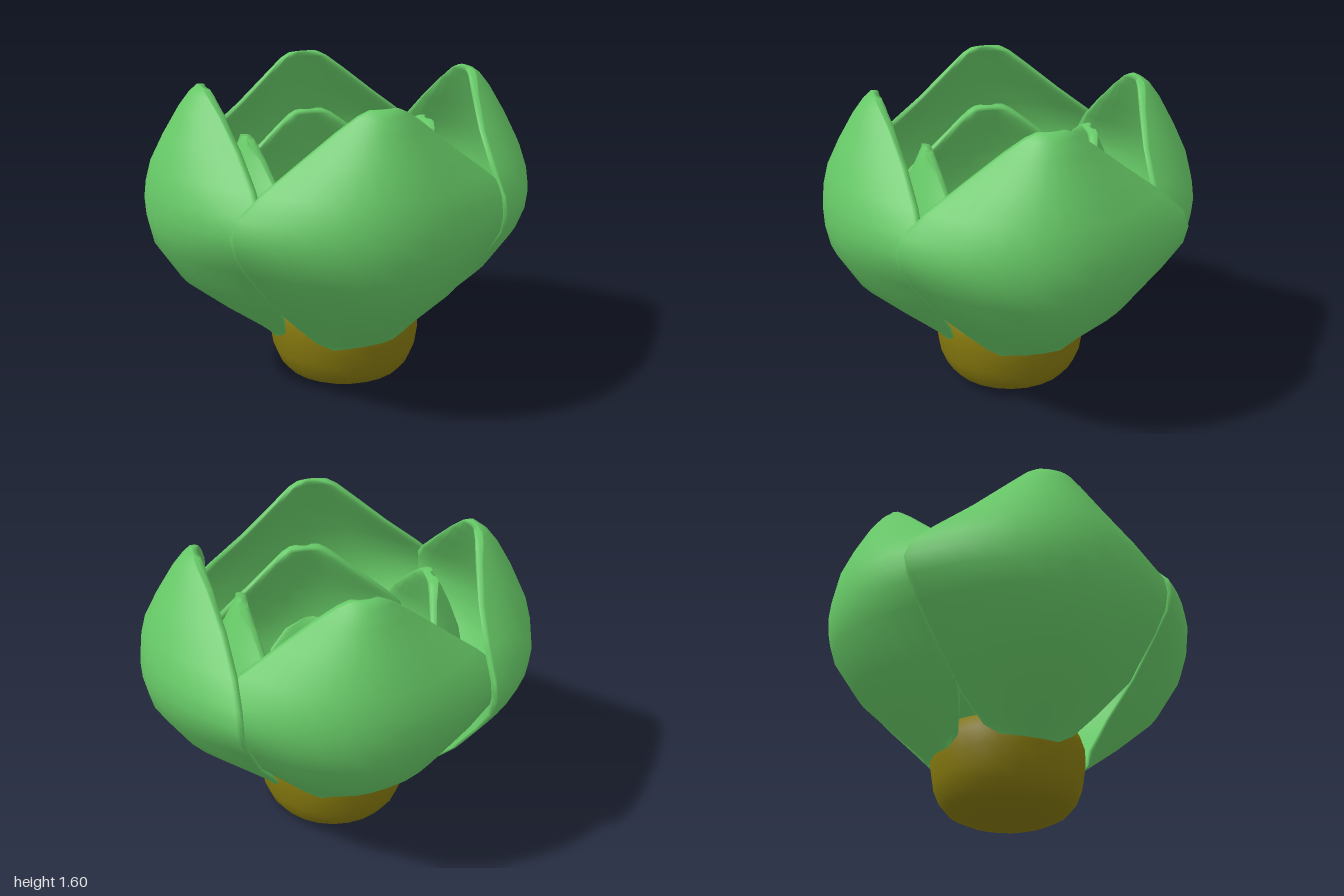
import * as THREE from 'three';

const green = new THREE.MeshStandardMaterial({ color: 0x66c866, side: THREE.DoubleSide });
const brown = new THREE.MeshStandardMaterial({ color: 0x85780e });

// Petal rows, bottom to tip: height, radius at the middle, half width, radius at the edges
const cupped = [
  [0.285, 0.40, 0.15, 0.385], [0.33, 0.46, 0.23, 0.375], [0.45, 0.63, 0.35, 0.41],
  [0.62, 0.84, 0.50, 0.49], [0.82, 0.97, 0.64, 0.56], [0.93, 0.995, 0.70, 0.60],
  [1.02, 1.0, 0.72, 0.61], [1.11, 0.99, 0.69, 0.61], [1.22, 0.965, 0.57, 0.61],
  [1.36, 0.90, 0.39, 0.63], [1.5, 0.82, 0.22, 0.67], [1.57, 0.765, 0.13, 0.70],
  [1.595, 0.73, 0.08, 0.71], [1.6, 0.705, 0.04, 0.705],
];
const spread = [
  [0.46, 0.10, 0.10, 0.10], [0.58, 0.20, 0.20, 0.19], [0.70, 0.31, 0.28, 0.27],
  [0.80, 0.40, 0.24, 0.35], [0.87, 0.44, 0.14, 0.42], [0.90, 0.46, 0.03, 0.455],
];

// Closed petal facing +z: each row is a loop along the outside and back along the inside
function petalGeometry(rows, thickness) {
  const n = 16, loop = n * 2;
  const pos = [], idx = [];
  rows.forEach(([y, r, w, edge], i) => {
    const v = i / (rows.length - 1);
    const t = thickness * Math.sqrt(Math.max(0, Math.sin(Math.PI * v)));
    for (let k = 0; k < loop; k++) {
      // points crowd towards the edges so that the rims are round
      const u = -Math.cos((Math.PI * k) / n);
      const depth = k > n ? t * Math.sqrt(1 - u ** 6) : 0;
      pos.push(w * u, y, r - (r - edge) * u * u - depth);
    }
  });
  for (let i = 0; i < rows.length - 1; i++) {
    for (let k = 0; k < loop; k++) {
      const a = i * loop + k, b = i * loop + ((k + 1) % loop);
      idx.push(a, b, a + loop, b, b + loop, a + loop);
    }
  }
  const g = new THREE.BufferGeometry();
  g.setAttribute('position', new THREE.Float32BufferAttribute(pos, 3));
  g.setIndex(idx);
  g.computeVertexNormals();
  return g;
}

// Four petals around the axis, each slightly turned; front and back are a little shallower
function petalRing(name, geometry, { shifts, yaw, depth }) {
  const ring = new THREE.Group();
  ring.name = name + 's';
  for (let i = 0; i < 4; i++) {
    const petal = new THREE.Mesh(geometry, green);
    petal.name = name;
    petal.rotation.y = yaw;
    // undo the swing that the yaw gives the petal about the axis
    petal.position.x = shifts[i] - Math.sin(yaw) * 0.6;
    petal.scale.z = i % 2 ? 1 : depth;
    const arm = new THREE.Group();
    arm.rotation.y = (i * Math.PI) / 2;
    arm.add(petal);
    ring.add(arm);
  }
  return ring;
}

export function createModel() {
  const model = new THREE.Group();
  model.name = 'flowerBud';

  // Rounded stem base
  const profile = [
    [0, 0], [0.15, 0.003], [0.24, 0.015], [0.31, 0.05], [0.35, 0.1], [0.378, 0.17],
    [0.393, 0.27], [0.393, 0.36], [0.37, 0.43], [0.31, 0.455], [0, 0.45],
  ].map(([x, y]) => new THREE.Vector2(x, y));
  const base = new THREE.Mesh(new THREE.LatheGeometry(profile, 24), brown);
  base.name = 'stemBase';
  base.position.x = 0.015;
  model.add(base);

  // Large outer petals
  model.add(petalRing('outerPetal', petalGeometry(cupped, 0.1),
    { shifts: [-0.05, 0, -0.04, -0.07], yaw: -0.05, depth: 0.95 }));

  // Smaller, more upright inner petals with broader tips
  const innerRows = cupped.map(([y, r, w, e], i) => {
    const lean = 0.04 * (i / (cupped.length - 1)) ** 2;
    return [0.38 + (y - 0.285) * 0.725, r * 0.64 + lean, 0.53 * (w / 0.72) ** 0.88, e * 0.67 + lean];
  });
  model.add(petalRing('innerPetal', petalGeometry(innerRows, 0.08),
    { shifts: [0.04, 0.04, 0, -0.04], yaw: -0.06, depth: 0.89 }));

  // Open heart petals with a small square floor
  const heart = petalRing('heartPetal', petalGeometry(spread, 0.025),
    { shifts: [0, 0, 0, 0], yaw: 0, depth: 1 });
  const floor = new THREE.Mesh(new THREE.BoxGeometry(0.2, 0.03, 0.2), green);
  floor.name = 'heartFloor';
  floor.position.y = 0.46;
  heart.add(floor);
  heart.position.set(0.03, 0, -0.02);
  model.add(heart);

  return model;
}
